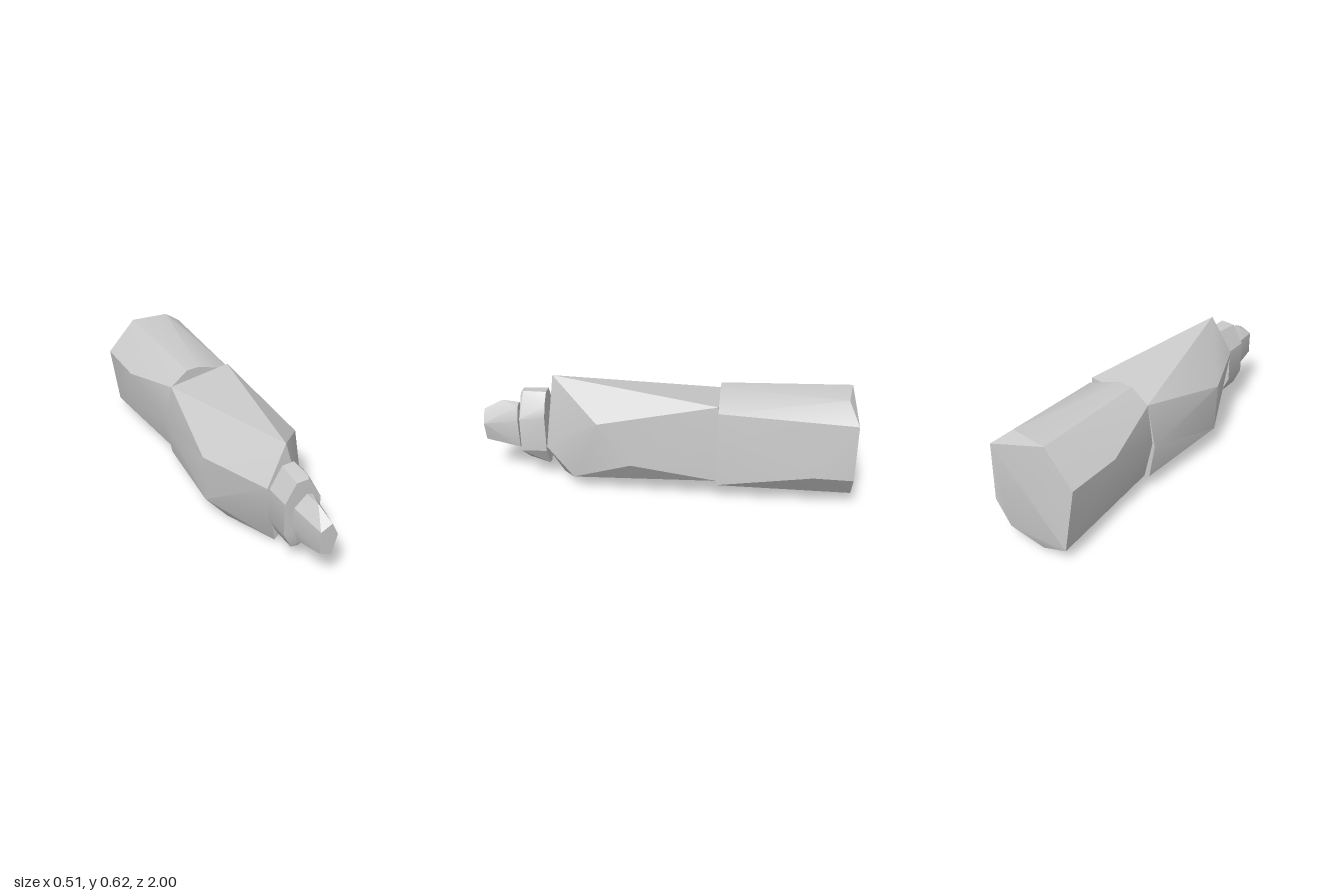
import * as THREE from 'three';
import { ConvexGeometry } from 'three/addons/geometries/ConvexGeometry.js';
import { toCreasedNormals } from 'three/addons/utils/BufferGeometryUtils.js';

const material = new THREE.MeshStandardMaterial({ color: 0xcccccc });

// Faceted convex block through a few corner points [x, y, z]
function block(name, corners) {
  const hull = new ConvexGeometry(corners.map((c) => new THREE.Vector3(...c)));
  const mesh = new THREE.Mesh(toCreasedNormals(hull, 0.45), material);
  mesh.name = name;
  return mesh;
}

// Places a flat outline [x, y] at depth z
const ring = (z, outline) => outline.map(([x, y]) => [x, y, z]);

export function createModel() {
  const model = new THREE.Group();
  model.name = 'segmentedBody';

  // Front half of the body: narrow nose edge, wide middle, flat joint
  model.add(block('frontBody', [
    [0, 0.62, 0.61], [-0.115, 0.41, 0.64], [0.1, 0.235, 0.64], [-0.025, 0.015, 0.58],
    [0.14, 0.08, 0.49], [0.235, 0.46, 0.335], [0.25, 0.235, 0.16],
    [-0.26, 0.405, 0.25], [-0.248, 0.135, 0.25], [-0.15, 0.03, 0.31],
    ...ring(-0.29, [[0.178, 0.567], [0.188, 0.135], [-0.08, 0.033], [-0.18, 0.09],
      [-0.215, 0.285], [-0.172, 0.515]]),
  ]));

  // Rear half of the body: flares toward a flat end cap
  model.add(block('rearBody', [
    ...ring(-0.29, [[0, 0.595], [-0.075, 0.59], [-0.172, 0.512], [-0.2, 0.3], [-0.15, 0.085],
      [0.19, 0.11], [0.19, 0.535]]),
    [-0.25, 0.43, -0.67], [0.255, 0.225, -0.79],
    [0.115, 0.61, -0.95], [-0.09, 0.605, -0.98], [-0.03, 0, -0.965], [-0.25, 0.43, -0.985],
    ...ring(-1, [[0.225, 0.52], [0.226, 0.205], [0.14, 0.08], [-0.2, 0.08]]),
  ]));

  // Collar in front of the nose
  model.add(block('collar', [
    ...ring(0.785, [[-0.045, 0.515], [0.02, 0.515], [0.095, 0.39], [0.094, 0.2],
      [-0.062, 0.137], [-0.106, 0.23], [-0.106, 0.41]]),
    [0.025, 0.53, 0.77], [-0.005, 0.11, 0.765],
    ...ring(0.645, [[-0.04, 0.525], [0.025, 0.53], [0.078, 0.47], [0.1, 0.405], [0.094, 0.205],
      [0.035, 0.1], [-0.005, 0.09], [-0.062, 0.137], [-0.106, 0.23], [-0.106, 0.41]]),
  ]));

  // Small tapered tip
  model.add(block('tip', [
    ...ring(1, [[-0.046, 0.375], [0.015, 0.405], [0.05, 0.33], [0.02, 0.22], [-0.045, 0.25]]),
    [0, 0.457, 0.9],
    ...ring(0.805, [[-0.067, 0.39], [0, 0.45], [0.035, 0.44], [0.063, 0.36], [0.045, 0.195],
      [-0.04, 0.183], [-0.073, 0.287]]),
  ]));

  return model;
}
